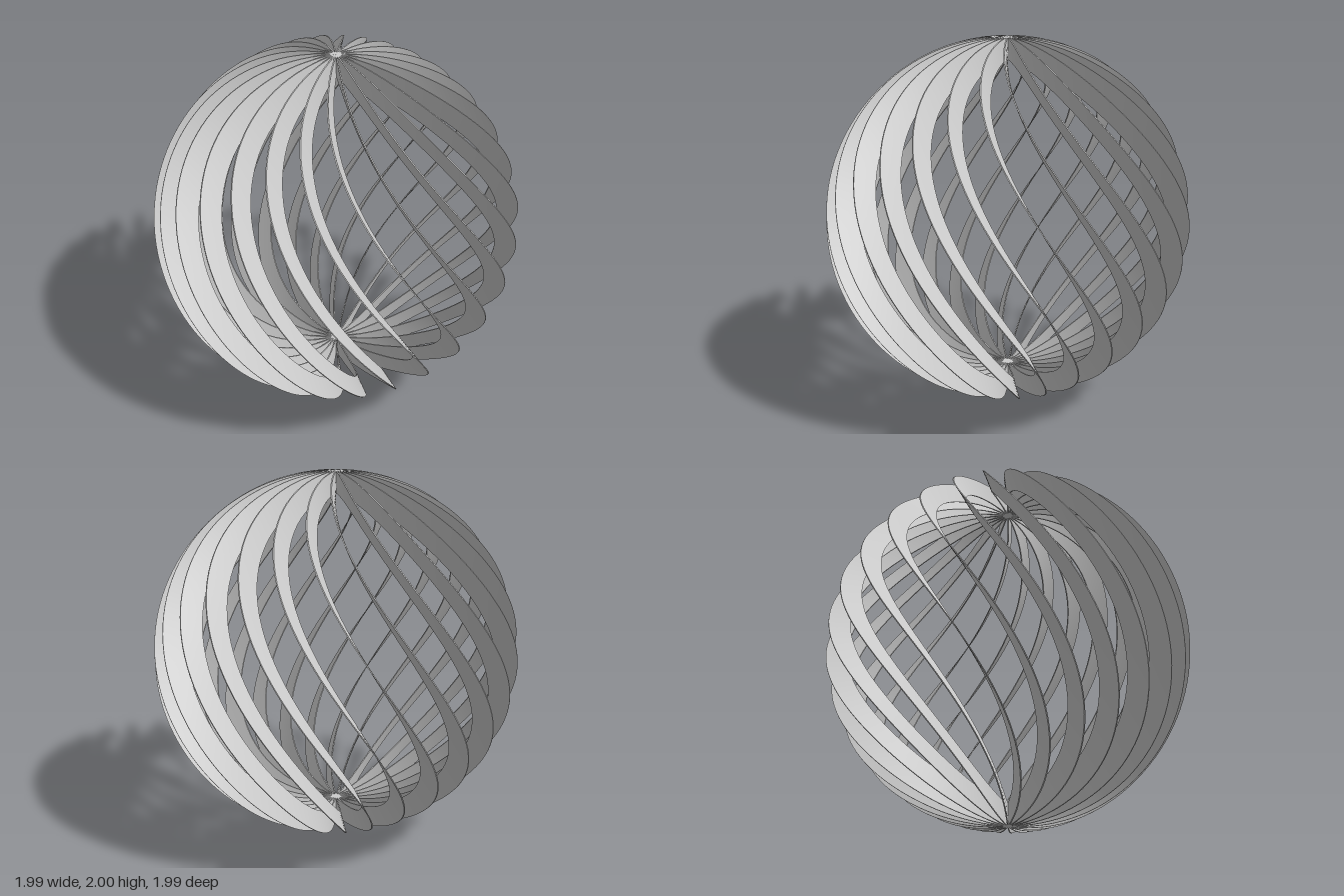
import * as THREE from 'three';
import { toCreasedNormals } from 'three/addons/utils/BufferGeometryUtils.js';

const RINGS = 12;         // each ring gives two ribs from pole to pole
const INNER = 0.883;
const HALF = 0.0033;      // half the thickness of a ring
const TWIST = THREE.MathUtils.degToRad(38.9);   // turn per unit of height

// A flat upright ring, wrung around the vertical axis evenly with height
function twistedRing() {
  const mid = (1 + INNER) / 2;
  const profile = [
    [INNER, -HALF], [mid, -HALF], [1, -HALF],
    [1, HALF], [mid, HALF], [INNER, HALF], [INNER, -HALF],
  ].map(([r, h]) => new THREE.Vector2(r, h));
  const ring = new THREE.LatheGeometry(profile, 144);
  ring.rotateX(Math.PI / 2);
  ring.translate(0, 1, 0);

  const pos = ring.attributes.position;
  const v = new THREE.Vector3();
  const up = new THREE.Vector3(0, 1, 0);
  for (let i = 0; i < pos.count; i++) {
    v.fromBufferAttribute(pos, i);
    v.applyAxisAngle(up, TWIST * (2.01 - v.y));
    pos.setXYZ(i, v.x, v.y, v.z);
  }
  return toCreasedNormals(ring, 0.6);
}

export function createModel() {
  const model = new THREE.Group();
  model.name = 'twistedRibSphere';
  const material = new THREE.MeshStandardMaterial({ color: 0xcccccc, side: THREE.DoubleSide });
  const geometry = twistedRing();

  // Rings share the poles and fan evenly around the axis
  for (let i = 0; i < RINGS; i++) {
    const ring = new THREE.Mesh(geometry, material);
    ring.name = `twistedRing${i + 1}`;
    ring.rotation.y = (i * Math.PI) / RINGS;
    model.add(ring);
  }
  return model;
}
